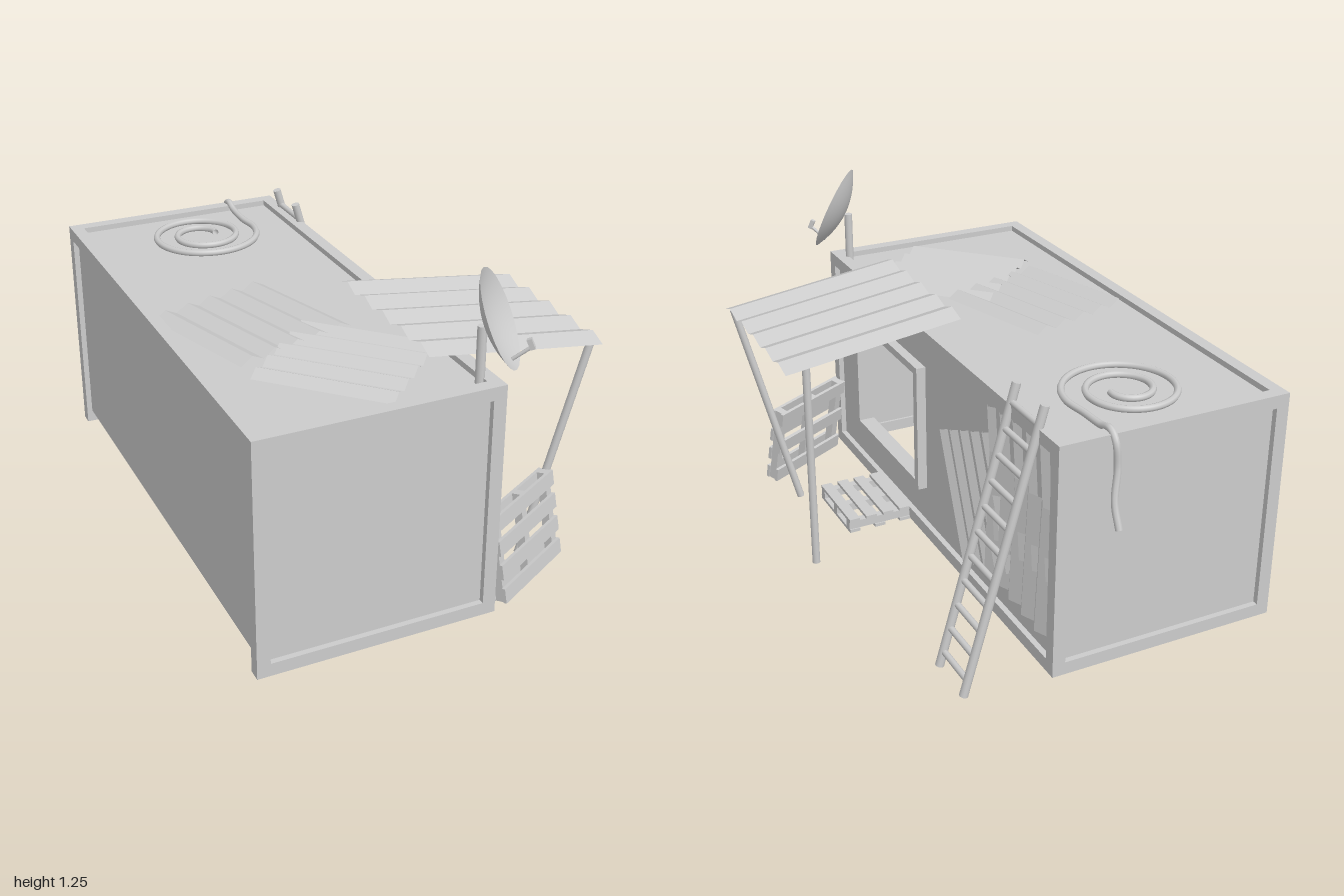
import * as THREE from 'three';

const flat = new THREE.MeshStandardMaterial({ color: 0xcccccc, flatShading: true, side: THREE.DoubleSide });
const smooth = new THREE.MeshStandardMaterial({ color: 0xcccccc, side: THREE.DoubleSide });
const V = (x, y, z) => new THREE.Vector3(x, y, z);

function add(parent, name, geometry, material = flat) {
  const mesh = new THREE.Mesh(geometry, material);
  mesh.name = name;
  parent.add(mesh);
  return mesh;
}

function group(parent, name) {
  const g = new THREE.Group();
  g.name = name;
  parent.add(g);
  return g;
}

// Box given by its minimum and maximum corners
function span(parent, name, a, b) {
  const mesh = add(parent, name, new THREE.BoxGeometry(b[0] - a[0], b[1] - a[1], b[2] - a[2]));
  mesh.position.set((a[0] + b[0]) / 2, (a[1] + b[1]) / 2, (a[2] + b[2]) / 2);
  return mesh;
}

// Round bar between two points
function bar(parent, name, a, b, r = 0.014) {
  const dir = b.clone().sub(a);
  const mesh = add(parent, name, new THREE.CylinderGeometry(r, r, dir.length(), 12), smooth);
  mesh.position.copy(a).add(b).multiplyScalar(0.5);
  mesh.quaternion.setFromUnitVectors(V(0, 1, 0), dir.normalize());
  return mesh;
}

// Zigzag sheet: ridges run along local x, y is up
function corrugated(parent, name, length, width, waves = 5, amp = 0.012) {
  const geo = new THREE.PlaneGeometry(length, width, 1, waves * 2).rotateX(-Math.PI / 2);
  const p = geo.attributes.position;
  for (let i = 0; i < p.count; i++) p.setY(i, (i >> 1) % 2 ? amp : -amp);
  geo.computeVertexNormals();
  return add(parent, name, geo);
}

// Rectangle in (z, y) with a rectangular hole, extruded along +x from x0
function holedPlate(parent, name, outer, hole, x0, depth) {
  const trace = (path, [z0, y0, z1, y1]) =>
    path.moveTo(-z0, y0).lineTo(-z1, y0).lineTo(-z1, y1).lineTo(-z0, y1).closePath();
  const shape = trace(new THREE.Shape(), outer);
  shape.holes.push(trace(new THREE.Path(), hole));
  const geo = new THREE.ExtrudeGeometry(shape, { depth, bevelEnabled: false }).rotateY(Math.PI / 2);
  const mesh = add(parent, name, geo);
  mesh.position.x = x0;
  return mesh;
}

// Pallet in the local xy plane, deck boards towards +z
function pallet(parent, name, w, h) {
  const g = group(parent, name);
  for (const x of [-1, 0, 1]) {
    add(g, 'stringer', new THREE.BoxGeometry(0.03, h, 0.03)).position.x = x * (w / 2 - 0.02);
  }
  for (let i = 0; i < 4; i++) {
    const board = add(g, 'deckBoard', new THREE.BoxGeometry(w, h * 0.17, 0.012));
    board.position.set(0, (i / 3 - 0.5) * h * 0.83, 0.021);
  }
  for (let i = 0; i < 3; i++) {
    const board = add(g, 'bottomBoard', new THREE.BoxGeometry(w, h * 0.17, 0.012));
    board.position.set(0, (i / 2 - 0.5) * h * 0.83, -0.021);
  }
  g.rotation.order = 'YXZ';
  return g;
}

function buildContainer(root) {
  const g = group(root, 'container');
  const [x0, x1, y0, y1, z0, z1] = [-0.67, 0.155, 0.09, 0.91, -0.92, 0.915];
  const t = 0.045, inset = 0.02, thick = 0.015;
  // Corner posts
  for (const x of [x0, x1 - t]) for (const z of [z0, z1 - t]) span(g, 'cornerPost', [x, y0, z], [x + t, y1, z + t]);
  // End beams and long beams; the closed long side has no bottom beam
  for (const y of [y0, y1 - t]) {
    for (const z of [z0, z1 - t]) span(g, 'endBeam', [x0 + t, y, z], [x1 - t, y + t, z + t]);
    span(g, 'longBeam', [x1 - t, y, z0 + t], [x1, y + t, z1 - t]);
  }
  span(g, 'longBeam', [x0, y1 - t, z0 + t], [x0 + t, y1, z1 - t]);
  // Recessed panels, open underneath
  const [xa, xb, ya, yb, za, zb] = [x0 + t, x1 - t, y0 + t, y1 - t, z0 + t, z1 - t];
  span(g, 'frontPanel', [xa, ya, z1 - inset - thick], [xb, yb, z1 - inset]);
  span(g, 'backPanel', [xa, ya, z0 + inset], [xb, yb, z0 + inset + thick]);
  span(g, 'rightPanel', [x0 + inset, ya, za], [x0 + inset + thick, yb, zb]);
  span(g, 'roofPanel', [xa, y1 - inset - thick, za], [xb, y1 - inset, zb]);
  holedPlate(g, 'leftPanel', [za, ya, zb, yb], [0.09, 0.29, 0.63, 0.735], x1 - inset - thick, thick);
  // Window surround standing proud of the wall
  holedPlate(g, 'windowFrame', [0.065, 0.272, 0.655, 0.755], [0.095, 0.302, 0.625, 0.727], 0.11, 0.06);
}

function buildSheets(root) {
  const g = group(root, 'looseSheets');
  // [x, y, z, turn]
  for (const [x, y, z, turn] of [[-0.355, 0.903, 0.15, -1.28], [-0.19, 0.9, 0.53, -0.8]]) {
    const s = corrugated(g, 'roofSheet', 0.46, 0.46);
    s.position.set(x, y, z);
    s.rotation.y = turn;
  }
  for (const [x, y, z, turn] of [[0.14, 0.435, -0.34, 0.4], [0.149, 0.445, -0.645, -0.07], [0.139, 0.62, -0.65, 0.12]]) {
    const s = corrugated(g, 'wallSheet', 0.47, 0.44);
    s.position.set(x, y, z);
    s.rotation.set(turn, 0, -Math.PI / 2);
  }
}

function buildAwning(root) {
  const g = group(root, 'awning');
  const s = corrugated(g, 'awningSheet', 0.65, 0.655);
  s.position.set(0.337, 0.897, 0.357);
  s.rotation.z = -0.133;
  bar(g, 'awningPole', V(0.565, 0.06, 0.09), V(0.565, 0.865, 0.09));
  bar(g, 'awningPole', V(0.44, 0.045, 0.597), V(0.64, 0.85, 0.645));
}

function buildLadder(root) {
  const g = group(root, 'ladder');
  const foot = V(0.4, 0.01, 0), top = V(0.13, 0.98, 0);
  const at = (k, z) => foot.clone().lerp(top, k).setZ(z);
  for (const z of [-0.605, -0.785]) bar(g, 'ladderRail', at(0, z), at(1, z), 0.015);
  for (let i = 0; i < 11; i++) {
    const k = 0.055 + i * 0.088;
    bar(g, 'ladderRung', at(k, -0.605), at(k, -0.785), 0.011);
  }
}

function buildDish(root) {
  const g = group(root, 'satelliteDish');
  const R = 0.16, depth = 0.045, n = V(0.73, 0.4, 0.56).normalize();
  bar(g, 'dishMast', V(0.105, 0.88, 0.835), V(0.105, 1.08, 0.835), 0.015);
  const head = group(g, 'dishHead');
  head.position.set(0.15, 1.105, 0.86);
  // Local +z looks along the dish axis, local y stays upright
  head.lookAt(head.position.clone().add(n));
  const profile = [];
  for (let i = 0; i <= 8; i++) profile.push(new THREE.Vector2(R * i / 8, depth * ((i / 8) ** 2 - 1)));
  add(head, 'reflector', new THREE.LatheGeometry(profile, 24).rotateX(Math.PI / 2), smooth);
  bar(head, 'feedArm', V(0, -0.135, -0.015), V(0, -0.115, 0.055), 0.006);
  add(head, 'feedHorn', new THREE.BoxGeometry(0.016, 0.035, 0.016)).position.set(0, -0.105, 0.058);
}

function buildHose(root) {
  // Hanging end, over the roof edge, then coiling inwards
  const pts = [V(-0.02, 0.62, -0.988), V(-0.018, 0.7, -0.96), V(-0.035, 0.8, -0.94),
    V(-0.03, 0.89, -0.932), V(-0.03, 0.918, -0.9), V(-0.032, 0.905, -0.84), V(-0.033, 0.9, -0.74)];
  for (let i = 0; i <= 32; i++) {
    const a = i / 32 * Math.PI * 4, r = 0.21 - 0.155 * i / 32;
    pts.push(V(-0.235 + r * Math.cos(a), 0.9, -0.65 + r * Math.sin(a)));
  }
  add(root, 'hose', new THREE.TubeGeometry(new THREE.CatmullRomCurve3(pts), 180, 0.012, 8), smooth);
}

export function createModel() {
  const root = new THREE.Group();
  root.name = 'containerShelter';
  buildContainer(root);
  buildSheets(root);
  buildAwning(root);
  buildLadder(root);
  buildDish(root);
  buildHose(root);
  // One pallet leaning at the corner, one lying under the window
  const leaning = pallet(root, 'leaningPallet', 0.375, 0.31);
  leaning.position.set(0.345, 0.243, 0.765);
  leaning.rotation.set(-0.18, 0.51, 0);
  const lying = pallet(root, 'lyingPallet', 0.295, 0.24);
  lying.position.set(0.28, 0.12, 0.318);
  lying.rotation.set(-Math.PI / 2, Math.PI / 2, 0);
  return root;
}
